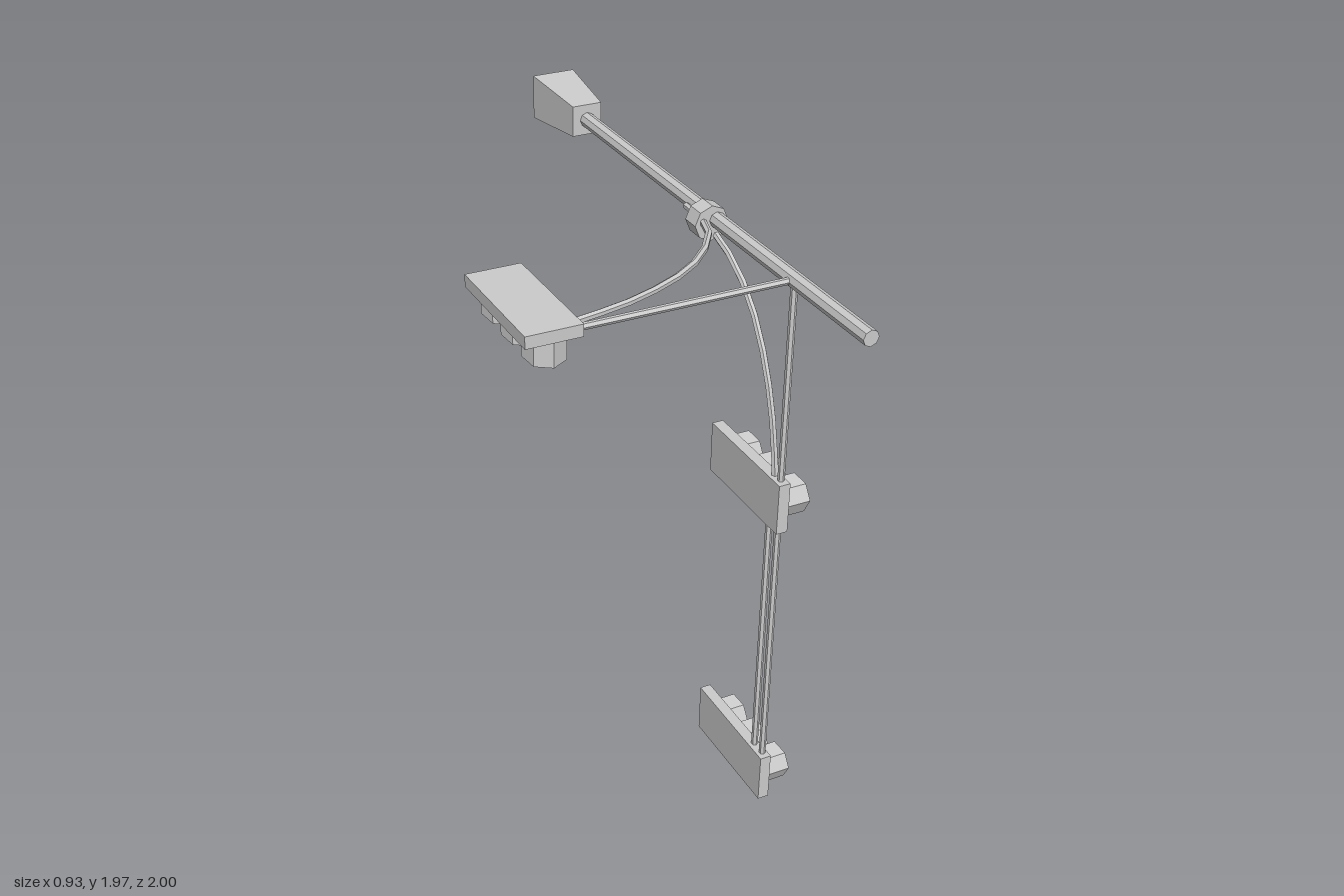
import * as THREE from 'three';

const metal = new THREE.MeshStandardMaterial({ color: 0xcccccc, flatShading: true });
const sheet = new THREE.MeshStandardMaterial({ color: 0xcccccc, flatShading: true, side: THREE.DoubleSide });

const PX = 0.367, PY = 1.895; // pole axis

function add(parent, name, geometry, material = metal) {
  const mesh = new THREE.Mesh(geometry, material);
  mesh.name = name;
  parent.add(mesh);
  return mesh;
}

// Straight round bar between two points
function bar(parent, name, a, b, radius, sides) {
  const from = new THREE.Vector3(...a), to = new THREE.Vector3(...b);
  const dir = to.clone().sub(from);
  const mesh = add(parent, name, new THREE.CylinderGeometry(radius, radius, dir.length(), sides));
  mesh.position.copy(from).add(to).multiplyScalar(0.5);
  mesh.quaternion.setFromUnitVectors(new THREE.Vector3(0, 1, 0), dir.normalize());
  return mesh;
}

// Curved brace bent from a thin tube
function brace(parent, name, points) {
  const curve = new THREE.CatmullRomCurve3(points.map((p) => new THREE.Vector3(...p)));
  return add(parent, name, new THREE.TubeGeometry(curve, 9, 0.011, 6), sheet);
}

// Visor: part of a seven-sided tube, longest at its +z crown
function visorGeometry() {
  const r = 0.063, length = 0.078, span = (Math.PI * 2 * 4) / 7;
  const geo = new THREE.CylinderGeometry(r, r, length, 4, 1, true, -span / 2, span);
  geo.rotateZ(-Math.PI / 2);
  const pos = geo.attributes.position;
  for (let i = 0; i < pos.count; i++) {
    if (pos.getX(i) > 0) pos.setX(i, pos.getX(i) - (r - pos.getZ(i)) * 0.18);
  }
  geo.translate(length / 2, 0, 0);
  return geo;
}

// Three-lamp signal head, back at x = 0, lamps facing +x
function signal(name) {
  const head = new THREE.Group();
  head.name = name;
  const depth = 0.038;
  add(head, 'housing', new THREE.BoxGeometry(depth, 0.172, 0.412)).position.x = depth / 2;
  const lens = new THREE.CylinderGeometry(0.042, 0.05, 0.01, 7).rotateZ(-Math.PI / 2);
  const visor = visorGeometry();
  for (const z of [0.138, 0, -0.138]) {
    add(head, 'lens', lens).position.set(depth + 0.005, 0, z);
    add(head, 'visor', visor, sheet).position.set(depth, 0, z);
  }
  return head;
}

export function createModel() {
  const model = new THREE.Group();
  model.name = 'trafficLight';

  // Pole lying along z, with a hollow flared foot
  bar(model, 'pole', [PX, PY, -0.74], [PX, PY, 1], 0.025, 8);
  const foot = new THREE.CylinderGeometry(0.052 * Math.SQRT2, 0.075 * Math.SQRT2, 0.27, 4, 1, true);
  foot.rotateY(Math.PI / 4).rotateX(Math.PI / 2);
  add(model, 'foot', foot, sheet).position.set(PX, PY, -0.865);
  add(model, 'footTop', new THREE.PlaneGeometry(0.104, 0.104), sheet).position.set(PX, PY, -0.73);

  // Collar holding the braces
  bar(model, 'collar', [0.35, 1.886, 0.103], [0.35, 1.886, 0.165], 0.056, 8);

  // Straight arms
  bar(model, 'sideArm', [PX, PY, 0.612], [-0.32, PY, 0.612], 0.011, 6);
  bar(model, 'longArm', [PX, PY, 0.612], [PX, 0.1, 0.612], 0.011, 6);
  bar(model, 'linkBar', [PX, 1.15, 0.562], [PX, 0.1, 0.562], 0.011, 6);

  // Curved braces
  brace(model, 'sideBrace', [
    [0.333, PY, 0.035], [0.325, PY, 0.16], [0.29, PY, 0.255], [0.22, PY, 0.345],
    [0.13, PY, 0.425], [0, PY, 0.495], [-0.14, PY, 0.545], [-0.32, PY, 0.58],
  ]);
  brace(model, 'longBrace', [
    [PX, 1.862, 0.04], [PX, 1.847, 0.16], [PX, 1.81, 0.26], [PX, 1.75, 0.35],
    [PX, 1.66, 0.43], [PX, 1.53, 0.50], [PX, 1.38, 0.55], [PX, 1.2, 0.582],
  ]);

  // Signal heads: two face +x, one faces down
  for (const [name, y] of [['middleSignal', 1.146], ['endSignal', 0.086]]) {
    const head = signal(name);
    head.position.set(0.345, y, 0.435);
    model.add(head);
  }
  const side = signal('sideSignal');
  side.rotation.z = -Math.PI / 2;
  side.position.set(-0.382, 1.915, 0.43);
  model.add(side);

  return model;
}
